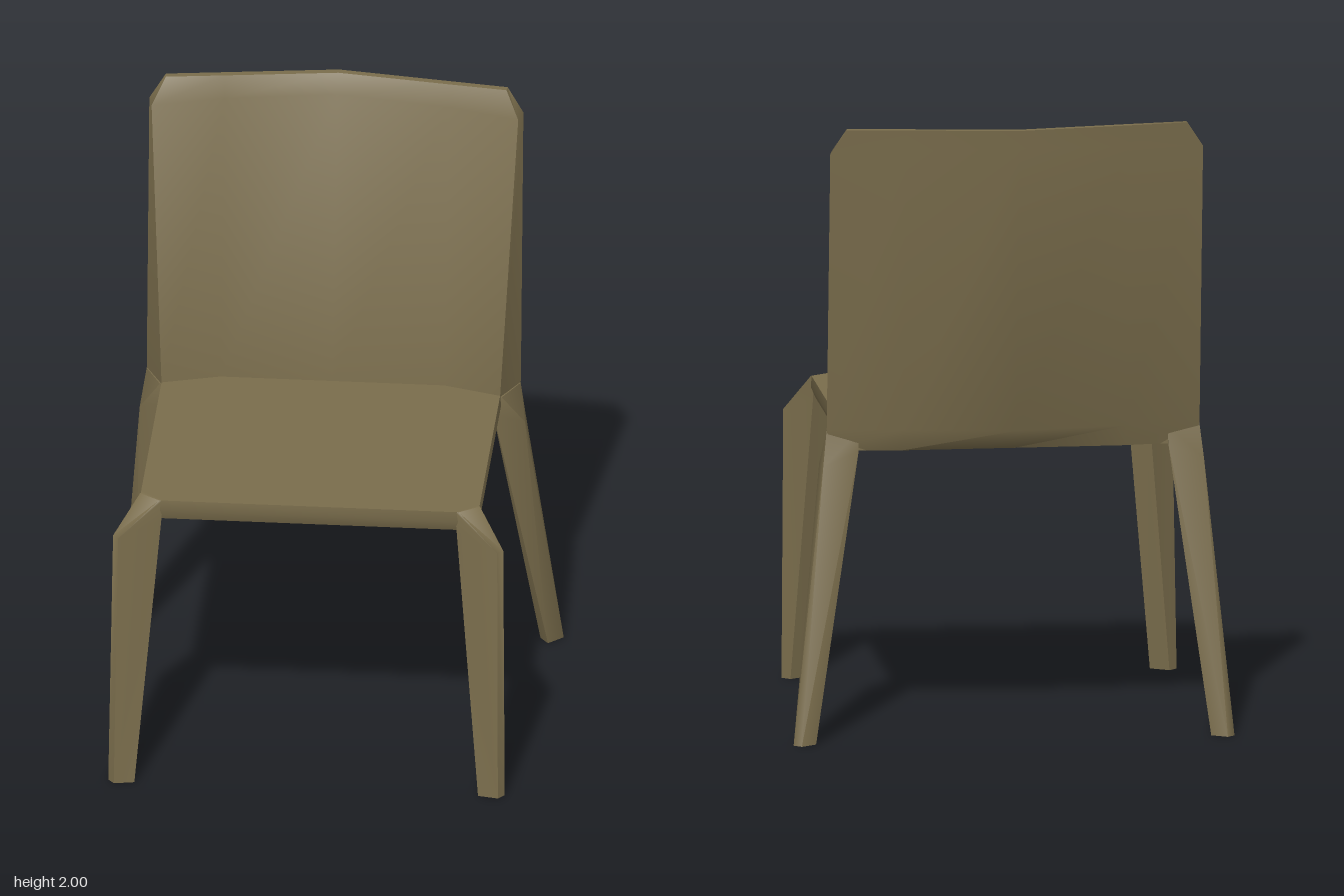
import * as THREE from 'three';
import { toCreasedNormals } from 'three/addons/utils/BufferGeometryUtils.js';

const shell = new THREE.MeshStandardMaterial({ color: 0x7a6d4c });
shell.name = 'olive brown shell';

// Skins a stack of equal rings of [x, y, z]; caps pair point i with n-1-i.
function loft(rings) {
  const n = rings[0].length, last = rings.length - 1, tris = [];
  const quad = (a, b, c, d) => tris.push([a, b, c], [a, c, d]);
  for (let r = 0; r < last; r++) {
    for (let i = 0; i < n; i++) {
      const j = (i + 1) % n;
      quad(rings[r][i], rings[r][j], rings[r + 1][j], rings[r + 1][i]);
    }
  }
  for (let i = 0; i < n / 2 - 1; i++) {
    const k = n - 1 - i;
    const lo = rings[0], hi = rings[last];
    quad(lo[i], lo[k], lo[k - 1], lo[i + 1]);
    quad(hi[i], hi[i + 1], hi[k - 1], hi[k]);
  }
  // Turn the skin outward whichever way the rings run
  const v = (p) => new THREE.Vector3(...p);
  let volume = 0;
  for (const [a, b, c] of tris) volume += v(a).dot(v(b).cross(v(c)));
  if (volume < 0) tris.forEach((t) => t.reverse());
  const geo = new THREE.BufferGeometry();
  geo.setAttribute('position', new THREE.Float32BufferAttribute(tris.flat(2), 3));
  return toCreasedNormals(geo, 1.0);
}

function part(name, rings) {
  const mesh = new THREE.Mesh(loft(rings), shell);
  mesh.name = name;
  return mesh;
}

const CX = -0.015; // seat and back sit slightly off the leg centre

// Seat slab: half outline from back to front, mirrored
function seatRing(y, grow) {
  const half = [[0.54, -0.4], [0.545 + grow, -0.29], [0.545 + grow, 0.48], [0.475, 0.53 + grow]];
  return [
    ...half.map(([x, z]) => [CX + x, y, z]),
    ...half.reverse().map(([x, z]) => [CX - x, y, z]),
  ];
}

// Backrest ring: front edge then rear edge, each given as edge, mid, centre
function backRing(front, rear) {
  const row = ([e, m, c]) => [[-e[0], e[1], e[2]], [-m[0], m[1], m[2]], c, m, e]
    .map(([x, y, z]) => [CX + x, y, z]);
  return [...row(front), ...row(rear).reverse()];
}

export function createModel() {
  const chair = new THREE.Group();
  chair.name = 'chair';

  chair.add(part('seat', [seatRing(0.93, -0.012), seatRing(0.965, 0.003), seatRing(1, 0)]));

  // Curved backrest, thick at the base and thin at the top
  chair.add(part('backrest', [
    backRing(
      [[0.54, 0.93, -0.3], [0.36, 0.93, -0.345], [0, 0.93, -0.345]],
      [[0.59, 0.93, -0.385], [0.36, 0.93, -0.415], [0, 0.935, -0.44]]),
    backRing(
      [[0.545, 1, -0.288], [0.36, 1, -0.345], [0, 1, -0.345]],
      [[0.602, 1, -0.4], [0.36, 1, -0.44], [0, 1, -0.49]]),
    backRing(
      [[0.59, 1.92, -0.44], [0.36, 1.93, -0.49], [0, 1.94, -0.53]],
      [[0.602, 1.92, -0.495], [0.36, 1.93, -0.53], [0, 1.94, -0.58]]),
    backRing(
      [[0.548, 2, -0.49], [0.36, 2, -0.515], [0, 2, -0.565]],
      [[0.55, 2, -0.512], [0.36, 2, -0.538], [0, 2, -0.588]]),
  ]));

  for (const s of [-1, 1]) {
    const side = s > 0 ? 'left' : 'right';
    const ring = (c, pts) => pts.map(([x, y, z]) => [c + s * x, y, z]);

    // Front leg: foot, knee, and shoulder folding into the seat corner
    chair.add(part(`${side} front leg`, [
      ring(-0.02, [[0.638, 0, 0.56], [0.618, 0, 0.585], [0.553, 0, 0.572], [0.612, 0, 0.535]]),
      ring(CX, [[0.628, 0.88, 0.555], [0.61, 0.88, 0.575], [0.475, 0.93, 0.525], [0.54, 0.93, 0.482]]),
      ring(CX, [[0.547, 1, 0.485], [0.482, 1, 0.53], [0.47, 1, 0.528], [0.54, 1, 0.475]]),
    ]));

    // Rear leg: splayed foot, joint below the backrest, and shoulder
    chair.add(part(`${side} rear leg`, [
      ring(0, [[0.712, 0, -0.55], [0.688, 0, -0.573], [0.638, 0, -0.54], [0.665, 0, -0.505]]),
      ring(CX, [[0.62, 0.88, -0.345], [0.615, 0.88, -0.415], [0.5, 0.93, -0.41], [0.525, 0.93, -0.285]]),
      ring(CX, [[0.55, 0.995, -0.288], [0.602, 0.995, -0.395], [0.5, 0.99, -0.4], [0.5, 0.995, -0.3]]),
    ]));
  }

  return chair;
}
